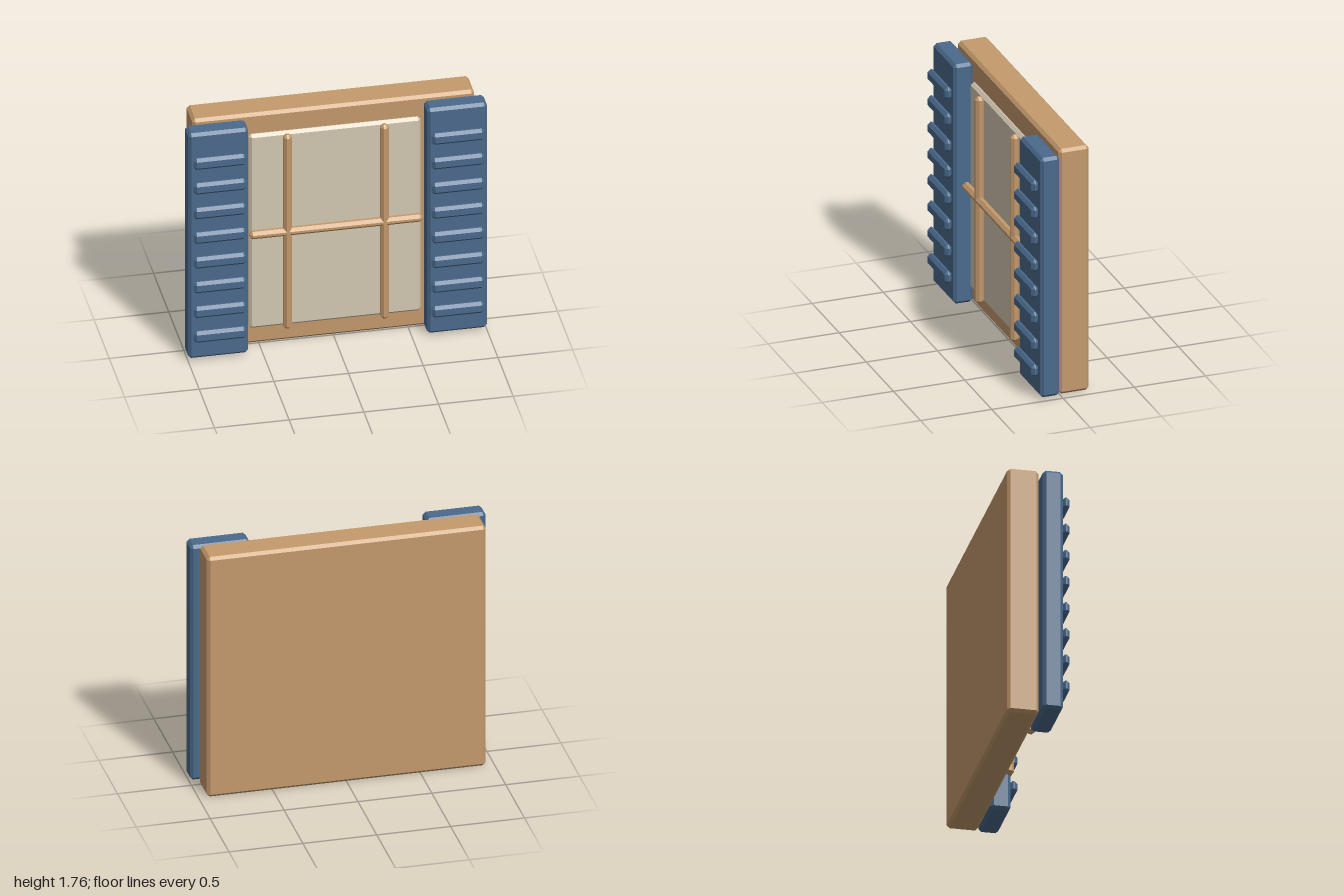
import * as THREE from 'three';
import { ConvexGeometry } from 'three/addons/geometries/ConvexGeometry.js';

const mat = (name, color) => {
  const m = new THREE.MeshStandardMaterial({ color });
  m.name = name;
  return m;
};

// Box with flat chamfered edges: each corner is cut back along two axes at a time
function chamferBox(w, h, d, c) {
  const half = [w / 2, h / 2, d / 2];
  const points = [];
  for (const sx of [-1, 1]) for (const sy of [-1, 1]) for (const sz of [-1, 1]) {
    for (let full = 0; full < 3; full++) {
      const p = half.map((v, i) => (i === full ? v : v - c));
      points.push(new THREE.Vector3(sx * p[0], sy * p[1], sz * p[2]));
    }
  }
  return new ConvexGeometry(points);
}

export function createModel() {
  const model = new THREE.Group();
  model.name = 'shutteredWindow';
  const wood = mat('tanWood', 0xc49a6c);
  const blue = mat('bluePaint', 0x4a6a8c);
  const pale = mat('palePane', 0xd4c8b3);

  const add = (parent, name, material, size, pos, chamfer = 0.02) => {
    const mesh = new THREE.Mesh(chamferBox(...size, chamfer), material);
    mesh.name = name;
    mesh.position.set(...pos);
    parent.add(mesh);
    return mesh;
  };

  // Backing frame and pane
  add(model, 'frame', wood, [1.888, 1.76, 0.212], [0, 0.88, -0.101]);
  add(model, 'pane', pale, [1.152, 1.484, 0.045], [0, 0.884, 0.033]);

  // Glazing bars
  const bars = new THREE.Group();
  bars.name = 'glazingBars';
  model.add(bars);
  add(bars, 'crossBar', wood, [1.16, 0.056, 0.06], [0, 0.883, 0.084]);
  for (const s of [-1, 1]) {
    add(bars, s > 0 ? 'leftBar' : 'rightBar', wood, [0.056, 1.484, 0.06], [s * 0.325, 0.884, 0.084]);
  }

  // Shutters with eight slats each
  for (const s of [-1, 1]) {
    const shutter = new THREE.Group();
    shutter.name = s > 0 ? 'leftShutter' : 'rightShutter';
    model.add(shutter);
    add(shutter, 'shutterPanel', blue, [0.402, 1.722, 0.135], [s * 0.799, 0.882, 0.0875]);
    for (let i = 0; i < 8; i++) {
      add(shutter, 'slat', blue, [0.353, 0.086, 0.05], [s * 0.797, 0.208 + i * 0.1892, 0.182]);
    }
  }
  return model;
}
